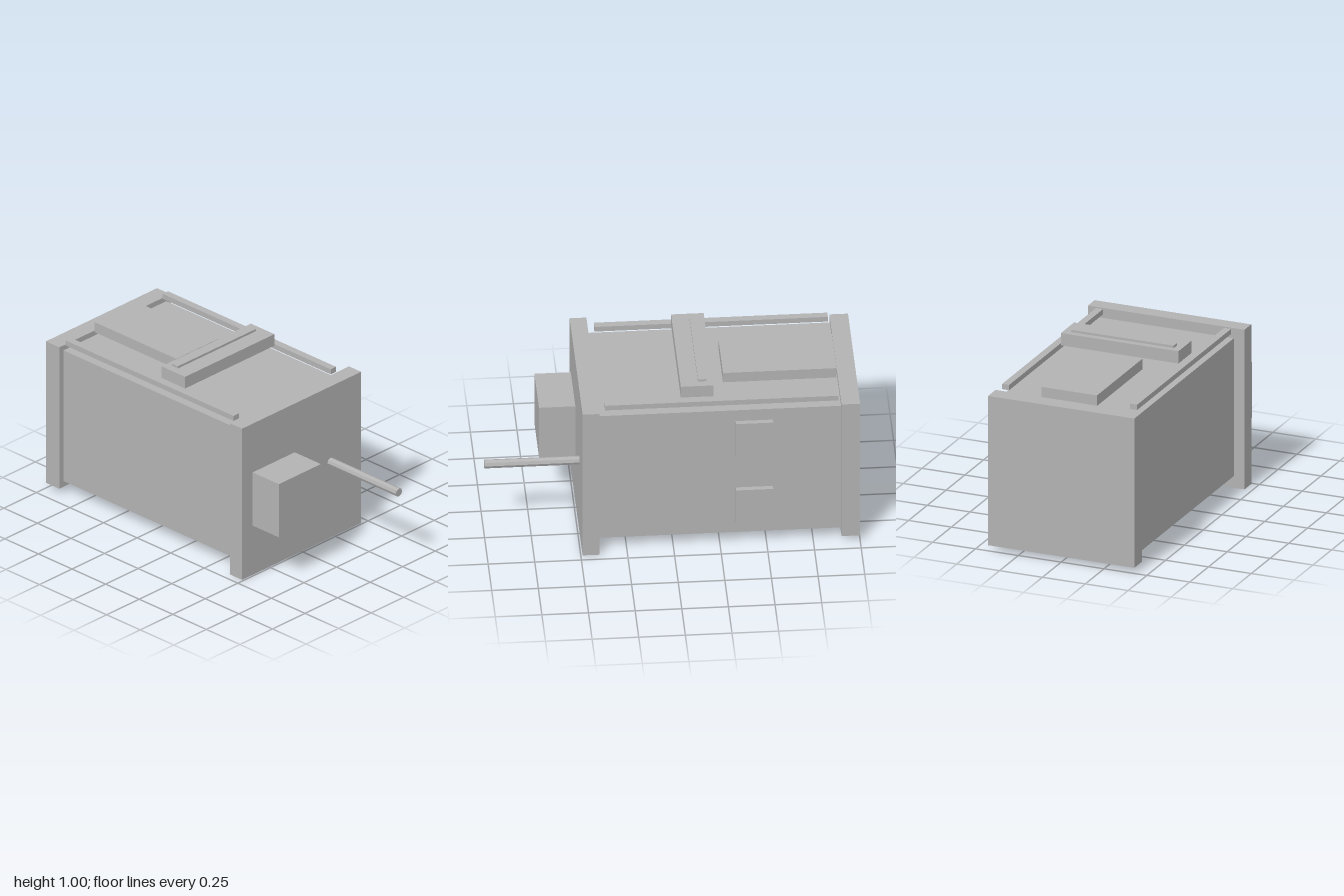
import * as THREE from 'three';

export function createModel() {
  const model = new THREE.Group();
  model.name = 'machineCabinet';
  const grey = new THREE.MeshStandardMaterial({ color: 0xb2b2b2 });
  grey.name = 'grey';

  // Box given by its extents along each axis
  function box(name, [x0, x1], [y0, y1], [z0, z1]) {
    const mesh = new THREE.Mesh(new THREE.BoxGeometry(x1 - x0, y1 - y0, z1 - z0), grey);
    mesh.position.set((x0 + x1) / 2, (y0 + y1) / 2, (z0 + z1) / 2);
    mesh.name = name;
    model.add(mesh);
  }

  // Main housing with its two end plates
  box('housing', [-0.395, 0.395], [0.067, 0.855], [-0.9, 0.4]);
  box('frontPlate', [-0.457, 0.457], [0, 0.912], [0.4, 0.49]);
  box('backPlate', [-0.427, 0.427], [0.032, 0.885], [-1, -0.9]);

  // Raised rails along both top edges
  box('leftRail', [0.353, 0.394], [0.89, 0.92], [-0.887, 0.365]);
  box('rightRail', [-0.394, -0.353], [0.89, 0.92], [-0.887, 0.365]);

  // Top cover on a small spacer
  box('topCover', [-0.162, 0.162], [0.88, 0.94], [-0.893, -0.285]);
  box('coverSpacer', [-0.1, 0.1], [0.865, 0.885], [-0.535, -0.335]);

  // Crossbar with its thin strip
  box('crossbar', [-0.343, 0.343], [0.917, 0.987], [-0.22, -0.045]);
  box('crossbarStrip', [-0.3, 0.3], [0.987, 1], [-0.185, -0.14]);

  // Two access panels on the left side
  for (const y of [0.135, 0.565]) {
    box('sidePanel', [0.395, 0.424], [y, y + 0.22], [-0.535, -0.335]);
  }

  // Control box and drive shaft on the front
  box('controlBox', [-0.376, -0.053], [0.297, 0.618], [0.49, 0.685]);
  const shaftShape = new THREE.CylinderGeometry(0.024, 0.024, 0.51, 8).toNonIndexed();
  shaftShape.rotateX(Math.PI / 2);
  shaftShape.computeVertexNormals();
  const shaft = new THREE.Mesh(shaftShape, grey);
  shaft.position.set(0.222, 0.458, 0.745);
  shaft.name = 'driveShaft';
  model.add(shaft);

  return model;
}
